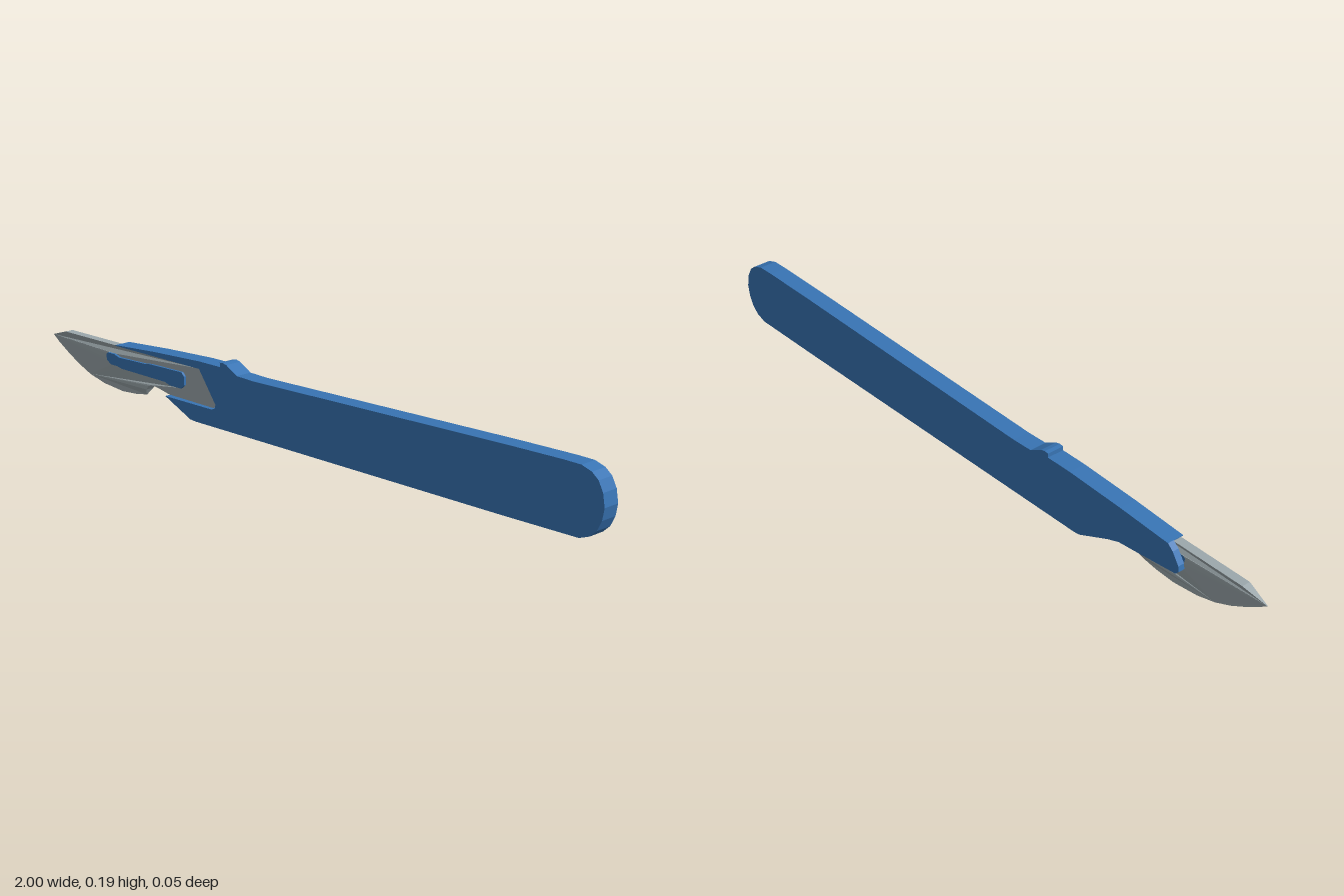
import * as THREE from 'three';

const blue = new THREE.MeshStandardMaterial({ color: 0x3874b4 });
blue.name = 'blue plastic';
const steel = new THREE.MeshStandardMaterial({ color: 0x9ca8ac });
steel.name = 'steel grey';

const toPoints = (list) => list.map(([x, y]) => new THREE.Vector2(x, y));

// Flat plate with the given outline between two depths
function plate(name, outline, z0, z1, material, hole) {
  const shape = new THREE.Shape(toPoints(outline));
  if (hole) shape.holes.push(new THREE.Path(toPoints(hole)));
  const geometry = new THREE.ExtrudeGeometry(shape, { depth: z1 - z0, bevelEnabled: false });
  geometry.translate(0, 0, z0);
  const mesh = new THREE.Mesh(geometry, material);
  mesh.name = name;
  return mesh;
}

export function createModel() {
  const model = new THREE.Group();
  model.name = 'scalpel';
  const zBack = -0.025, zSeat = -0.006, zBlade = 0.019, zFront = 0.025;

  // Grip: underside, rounded end, top edge and thumb stop, shared by both layers
  const grip = [
    [-0.4, 0.005], [-0.38, 0.003], [0.7, 0], [0.93, 0.001], [0.96, 0.012], [0.98, 0.03], [0.994, 0.058],
    [1, 0.09], [0.994, 0.125], [0.98, 0.152], [0.96, 0.168], [0.93, 0.178], [0.88, 0.179],
    [0.7, 0.177], [-0.15, 0.16], [-0.215, 0.162], [-0.235, 0.173], [-0.255, 0.184],
    [-0.268, 0.187], [-0.28, 0.186], [-0.28, 0.174], [-0.36, 0.174], [-0.54, 0.166], [-0.705, 0.155],
  ];

  // Back layer carries the nose under the blade
  const nose = [[-0.722, 0.14], [-0.743, 0.108], [-0.745, 0.092], [-0.735, 0.082],
    [-0.585, 0.067], [-0.54, 0.063], [-0.5, 0.049]];
  model.add(plate('handleBack', [...grip, ...nose], zBack, zSeat, blue));

  // Front layer is cut away around the blade seat
  const seat = [[-0.705, 0.153], [-0.362, 0.153], [-0.299, 0.066], [-0.302, 0.055],
    [-0.315, 0.05], [-0.5, 0.05]];
  model.add(plate('handleFront', [...grip, ...seat], zSeat, zFront, blue));

  // Lug that locks into the slot of the blade
  const slot = [
    [-0.745, 0.122], [-0.742, 0.106], [-0.725, 0.096], [-0.7, 0.096], [-0.68, 0.092],
    [-0.5, 0.09], [-0.48, 0.084], [-0.435, 0.084], [-0.422, 0.095], [-0.422, 0.12],
    [-0.432, 0.13], [-0.56, 0.128], [-0.58, 0.125], [-0.69, 0.122], [-0.71, 0.128], [-0.738, 0.128],
  ];
  model.add(plate('bladeLug', slot, zSeat, 0.026, blue));

  // Blade: curved cutting edge first, then heel, tang and spine
  const cuttingEdge = [
    [-1, 0.13], [-0.975, 0.112], [-0.935, 0.088], [-0.89, 0.064], [-0.84, 0.043],
    [-0.78, 0.028], [-0.7, 0.02], [-0.64, 0.024], [-0.597, 0.031],
  ];
  const tang = [
    [-0.585, 0.05], [-0.575, 0.062], [-0.56, 0.067], [-0.53, 0.063], [-0.49, 0.055],
    [-0.315, 0.053], [-0.306, 0.056], [-0.304, 0.066], [-0.365, 0.152], [-0.93, 0.152],
  ];
  const blade = plate('blade', [...cuttingEdge, ...tang], zSeat, zBlade, steel, slot);

  // Grind the cutting edge down to a thin line in the middle of the blade
  const position = blade.geometry.attributes.position;
  const middle = (zSeat + zBlade) / 2;
  for (let i = 0; i < position.count; i++) {
    const x = position.getX(i), y = position.getY(i);
    const sharp = cuttingEdge.some(([ex, ey]) => Math.hypot(ex - x, ey - y) < 1e-4);
    if (sharp) position.setZ(i, middle + (position.getZ(i) - middle) * 0.06);
  }
  blade.geometry.computeVertexNormals();
  model.add(blade);

  return model;
}
